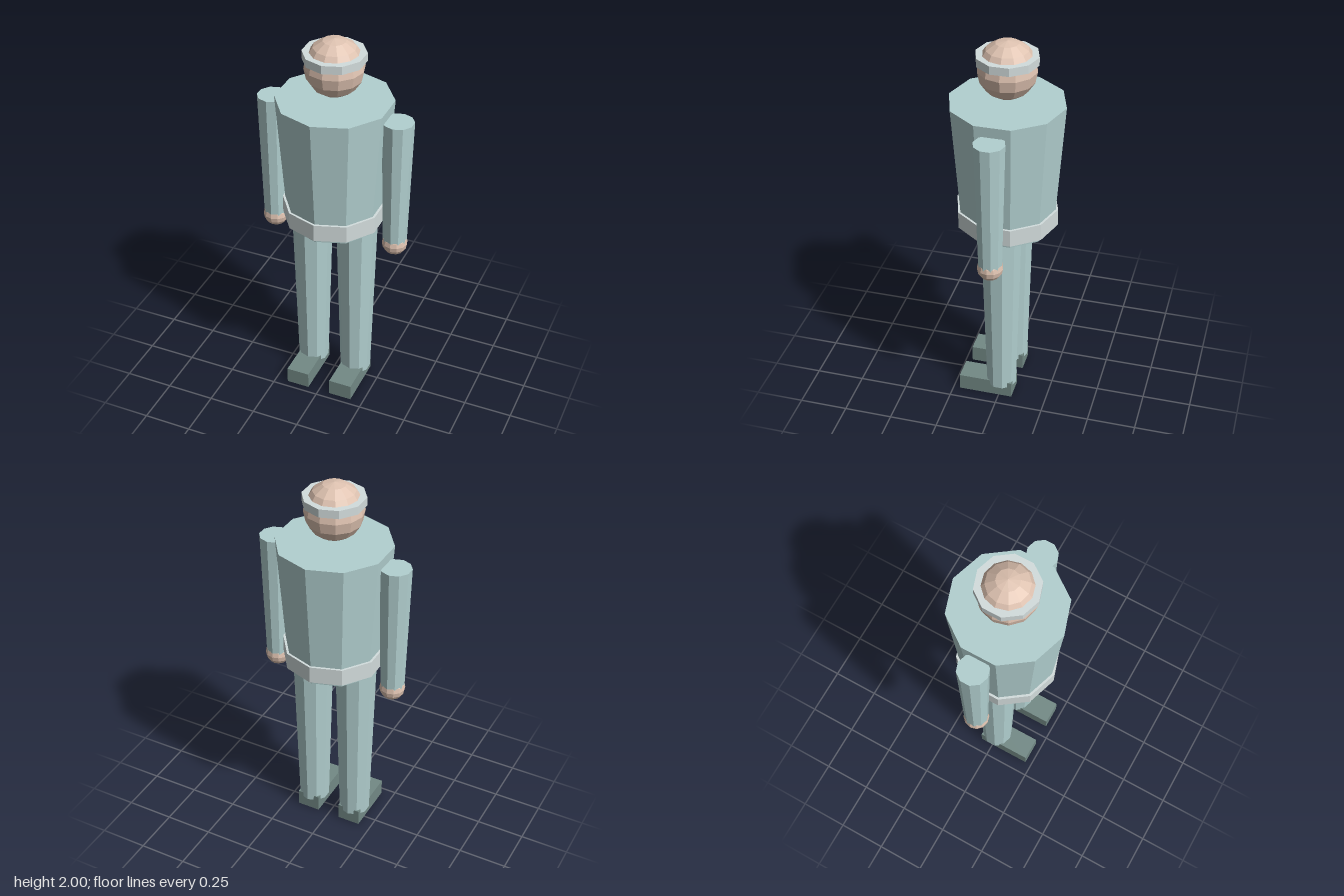
import * as THREE from 'three';

const paint = (color) => new THREE.MeshStandardMaterial({ color, flatShading: true });

export function createModel() {
  const model = new THREE.Group();
  model.name = 'figure';
  const cloth = paint(0xb2d0d0), trim = paint(0xd3dddd), skin = paint(0xdfc3b1), leather = paint(0x738a86);

  const add = (name, geometry, material, x, y, z = 0) => {
    const mesh = new THREE.Mesh(geometry, material);
    mesh.name = name;
    mesh.position.set(x, y, z);
    model.add(mesh);
  };
  // Ten-sided tapered column between two heights
  const column = (name, rTop, rBottom, y0, y1, material, x = 0) =>
    add(name, new THREE.CylinderGeometry(rTop, rBottom, y1 - y0, 10), material, x, (y0 + y1) / 2);

  // Body, belt, head and headband
  column('torso', 0.29, 0.24, 1.0, 1.685, cloth);
  column('belt', 0.26, 0.26, 1.02, 1.11, trim);
  add('head', new THREE.SphereGeometry(0.147, 12, 8), skin, 0, 1.853);
  column('headband', 0.155, 0.155, 1.89, 1.932, trim);

  // Mirrored limbs
  for (const [side, s] of [['left', 1], ['right', -1]]) {
    column(`${side}Arm`, 0.078, 0.06, 0.935, 1.63, cloth, s * 0.326);
    add(`${side}Hand`, new THREE.SphereGeometry(0.065, 12, 8), skin, s * 0.326, 0.935);
    column(`${side}Leg`, 0.105, 0.08, 0.06, 1.005, cloth, s * 0.122);
    add(`${side}Shoe`, new THREE.BoxGeometry(0.122, 0.088, 0.285), leather, s * 0.122, 0.044, 0.0725);
  }
  return model;
}
